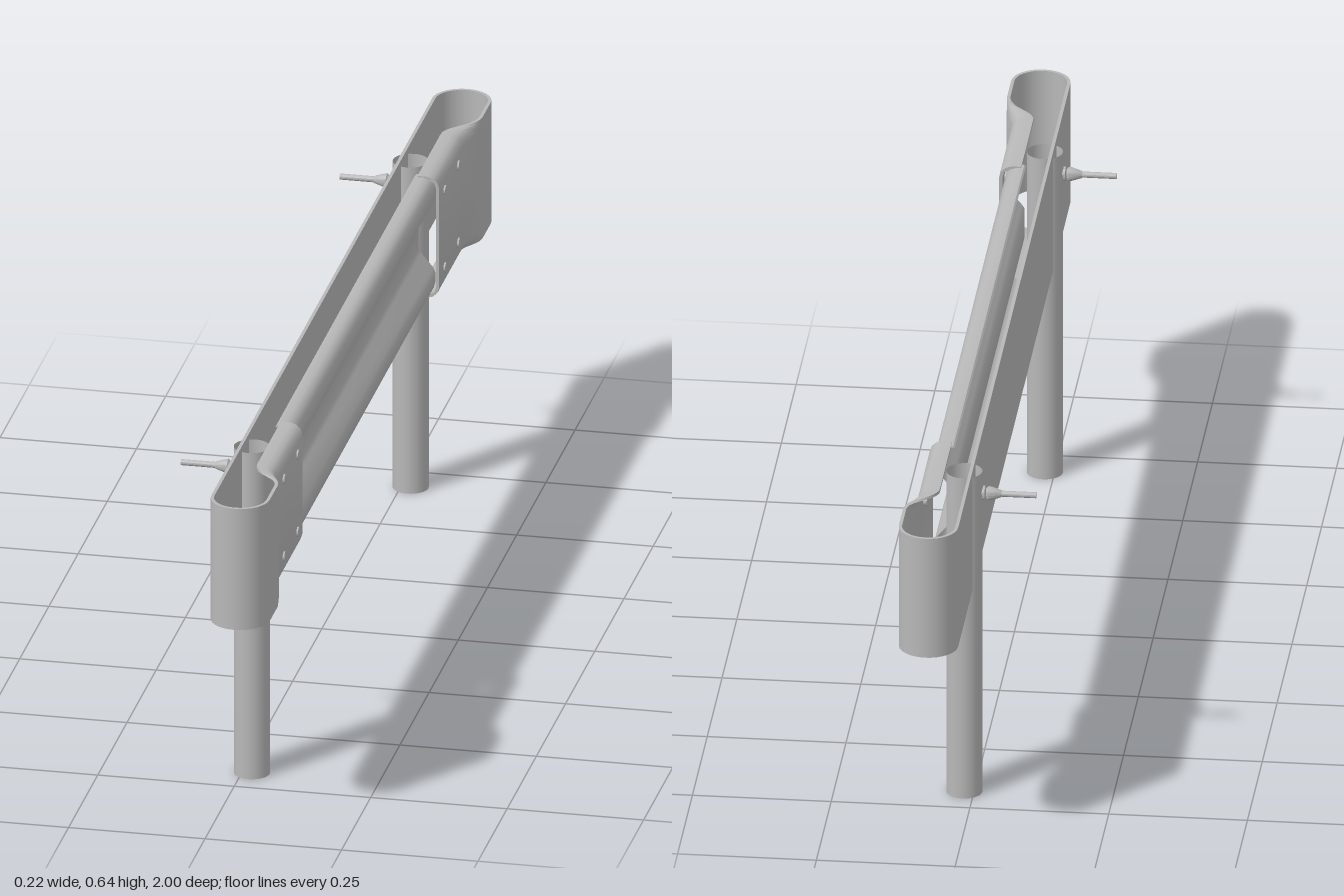
import * as THREE from 'three';
import { toCreasedNormals } from 'three/addons/utils/BufferGeometryUtils.js';

const LOW = 0.41, HIGH = 0.645;      // lower and upper edge of the barrier
const mid = (LOW + HIGH) / 2;

// Solid sheet swept through sections; each section has outer points (top to bottom) and matching inner points
function sheet(sections) {
  const rings = sections.map(s => [...s.outer, ...s.inner.slice().reverse()]);
  const n = rings[0].length;
  const index = [];
  const quad = (a, b, c, d) => index.push(a, b, d, b, c, d);
  for (let i = 0; i < rings.length - 1; i++) {
    for (let j = 0; j < n; j++) {
      const k = (j + 1) % n;
      quad(i * n + j, (i + 1) * n + j, (i + 1) * n + k, i * n + k);
    }
  }
  const last = (rings.length - 1) * n;
  for (let j = 0; j < n / 2 - 1; j++) {
    quad(j, j + 1, n - 2 - j, n - 1 - j);
    quad(last + n - 1 - j, last + n - 2 - j, last + j + 1, last + j);
  }
  const g = new THREE.BufferGeometry();
  g.setAttribute('position', new THREE.Float32BufferAttribute(rings.flat().flatMap(p => p.toArray()), 3));
  g.setIndex(index);
  return toCreasedNormals(g, 0.6);
}

// Band: two clamping sleeves, rounded ends and the flat back plate in one sweep
function bandGeometry() {
  const half = [];
  for (const z of [0.585, 0.7, 0.78, 0.795, 0.81, 0.82, 0.83, 0.84, 0.85, 0.86, 0.875, 0.91]) {
    const s = THREE.MathUtils.smoothstep(z, 0.79, 0.875);
    half.push({ x: 0.09 + 0.017 * s, z, nx: 1, nz: 0, fold: 1 - s });
  }
  const r = 0.0535;
  for (let i = 0; i <= 16; i++) {
    const a = Math.PI * i / 16, nx = Math.cos(a), nz = Math.sin(a);
    half.push({ x: r + r * nx, z: 1 - r + r * nz, nx, nz, fold: 0 });
  }
  const path = [...half, ...half.map(p => ({ ...p, z: -p.z, nz: -p.nz })).reverse()];

  // upper half of the folded edge: distance inward, height above the middle
  const h = HIGH - mid;
  const top = [[0.04, h], [0.022, h], [0.012, h - 0.003], [0.004, h - 0.01], [0, h - 0.022]];
  const profile = [...top, ...top.map(([d, y]) => [d, -y]).reverse()];
  const t = 0.006;
  return sheet(path.map(({ x, z, nx, nz, fold }) => {
    const at = (d, y) => new THREE.Vector3(x - nx * d, mid + y, z - nz * d);
    // edges open out to the full height where the band is flat
    return {
      outer: profile.map(([d, y]) => at(d * fold, y)),
      inner: profile.map(([d, y]) => at(d * fold + t * (1 - fold * Math.min(1, d / 0.025)),
        y - Math.sign(y) * t * fold * Math.min(1, d / 0.012))),
    };
  }));
}

// Corrugated rail between the sleeves
function railGeometry() {
  const top = [[0.046, 0.115], [0.06, 0.115], [0.07, 0.111], [0.077, 0.102], [0.08, 0.09],
    [0.08, 0.074], [0.076, 0.064], [0.054, 0.038], [0.049, 0.03]];
  const profile = [...top, ...top.map(([x, y]) => [x, -y]).reverse()];
  const section = z => ({
    outer: profile.map(([x, y]) => new THREE.Vector3(x, mid + y, z)),
    inner: profile.map(([x, y]) => new THREE.Vector3(x - 0.003, mid + y * 0.975, z)),
  });
  return sheet([section(-0.6), section(0.6)]);
}

export function createModel() {
  const model = new THREE.Group();
  model.name = 'crashBarrier';
  const steel = new THREE.MeshStandardMaterial({ color: 0xb8b8b8, side: THREE.DoubleSide });
  steel.name = 'galvanised steel';

  const add = (name, geometry, x = 0, y = 0, z = 0) => {
    const mesh = new THREE.Mesh(geometry, steel);
    mesh.name = name;
    mesh.position.set(x, y, z);
    model.add(mesh);
    return mesh;
  };

  add('band', bandGeometry());
  add('rail', railGeometry());

  const postHeight = 0.633;
  const post = new THREE.CylinderGeometry(0.0325, 0.0325, postHeight, 24, 1, true);
  const anchorProfile = [[0, 0.01], [0.007, 0.01], [0.007, 0.016], [0.013, 0.016], [0.013, 0.02],
    [0.009, 0.022], [0.013, 0.026], [0.012, 0.032], [0.007, 0.048], [0.0055, 0.05], [0.0055, 0.112], [0, 0.112]];
  const anchor = toCreasedNormals(
    new THREE.LatheGeometry(anchorProfile.map(([r, y]) => new THREE.Vector2(r, y)), 16), 0.6);
  const bolt = new THREE.CylinderGeometry(0.009, 0.011, 0.016, 12);

  for (const side of [1, -1]) {
    const end = side > 0 ? 'front' : 'back';
    // Hollow post with its anchor bolt
    add(end + 'Post', post, 0.0175, postHeight / 2, side * 0.68);
    add(end + 'AnchorBolt', anchor, 0, 0.591, side * 0.68).rotation.z = Math.PI / 2;
    // Four bolts through each sleeve
    for (const z of [0.63, 0.747]) {
      for (const y of [0.453, 0.603]) {
        add(end + 'SleeveBolt', bolt, 0.085, y, side * z).rotation.z = -Math.PI / 2;
      }
    }
  }
  return model;
}
